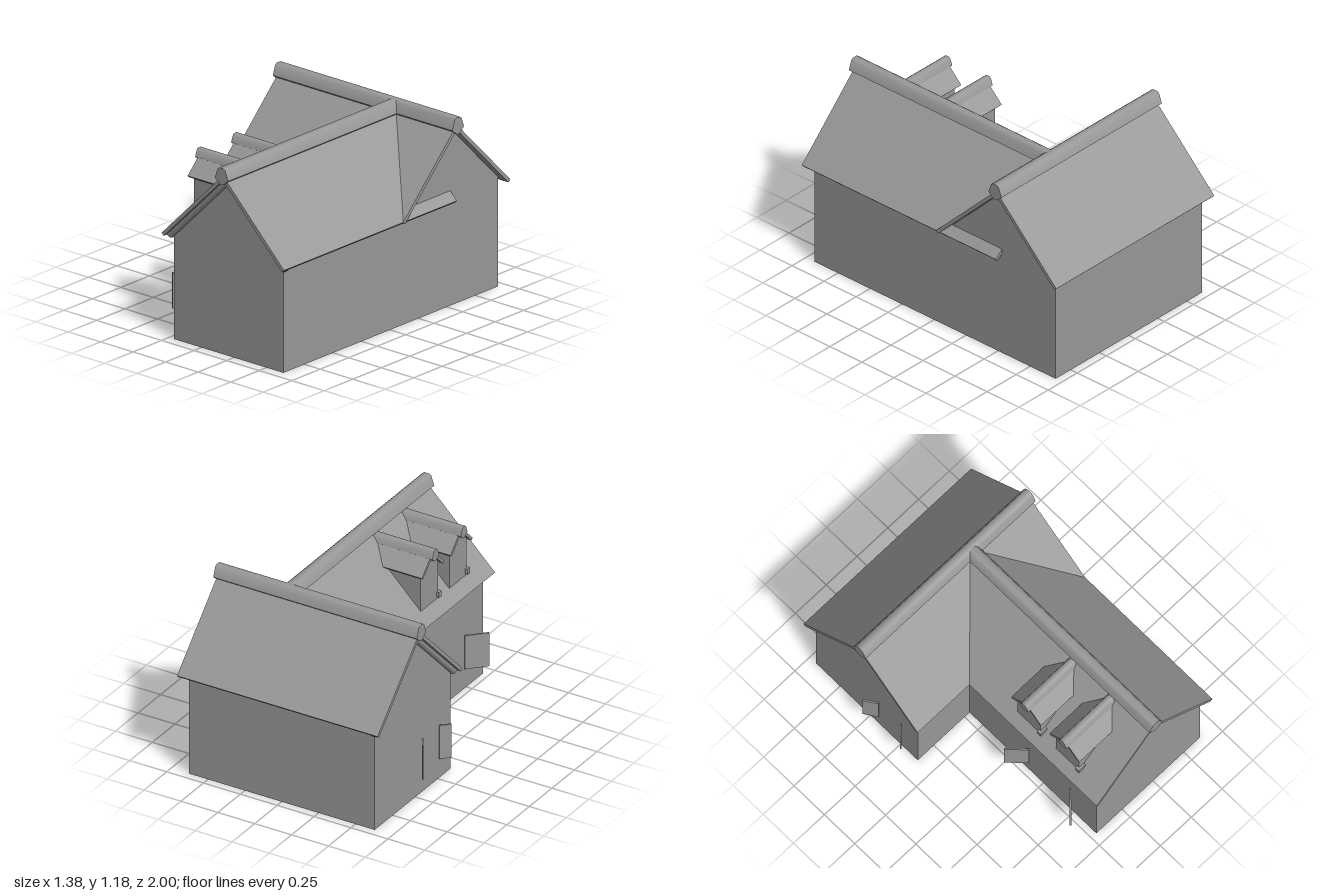
import * as THREE from 'three';
import { toCreasedNormals } from 'three/addons/utils/BufferGeometryUtils.js';

const mat = new THREE.MeshStandardMaterial({ color: 0x999999, side: THREE.DoubleSide });

function add(parent, name, geometry) {
  const m = new THREE.Mesh(geometry, mat);
  m.name = name;
  parent.add(m);
  return m;
}

function group(parent, name) {
  const g = new THREE.Group();
  g.name = name;
  parent.add(g);
  return g;
}

// Flat convex panel from its corners
function panel(points) {
  const v = [];
  for (let i = 1; i < points.length - 1; i++) v.push(...points[0], ...points[i], ...points[i + 1]);
  const g = new THREE.BufferGeometry();
  g.setAttribute('position', new THREE.Float32BufferAttribute(v, 3));
  g.computeVertexNormals();
  return g;
}

// Symmetric profile (right half, top to bottom) extruded from z0 to z1
function prism(half, z0, z1) {
  const left = half.filter(p => p[0] > 0).map(p => [-p[0], p[1]]).reverse();
  const shape = new THREE.Shape([...half, ...left].map(p => new THREE.Vector2(p[0], p[1])));
  return new THREE.ExtrudeGeometry(shape, { depth: z1 - z0, bevelEnabled: false }).translate(0, 0, z0);
}

// 45 degree pitched roof of two joined slabs
function roofSlabs(w, top, t, z0, z1) {
  const d = t * Math.SQRT1_2;
  return prism([[0, top], [w, top - w], [w - d, top - w - d], [0, top - 2 * d]], z0, z1);
}

// Ridge cap with a rounded top and flared sides
function ridgeCap(y, s, z0, z1) {
  const half = [[0.016, 0.048], [0.03, 0.038], [0.051, -0.021], [0.01, -0.055]];
  return prism(half.map(p => [p[0] * s, y + p[1] * s]), z0, z1);
}

const TOP = 1.13, W = 0.47, HALF = 0.42, EAVE = 0.675, APEX = 1.095, CREASE = 0.72;

// Round beams under the roof slabs along one gable
function rakeBeams(parent, z) {
  const off = 0.027 * Math.SQRT1_2;
  for (const s of [-1, 1]) {
    const m = add(parent, 'rakeBeam', new THREE.CylinderGeometry(0.026, 0.026, W * Math.SQRT2 - 0.008, 10));
    m.rotation.z = s * Math.PI / 4;
    m.position.set(s * (W / 2 - off), TOP - W / 2 - off, z);
  }
}

// Roof of one wing: ridge runs along local z
function wingRoof(parent, name, z0, z1, capZ0, capZ1, beamZ) {
  const g = group(parent, name);
  add(g, 'roofSlabs', roofSlabs(W, TOP, 0.022, z0, z1));
  add(g, 'ridgeCap', toCreasedNormals(ridgeCap(TOP, 1, capZ0, capZ1), CREASE));
  rakeBeams(g, beamZ);
  return g;
}

// Dormer facing local +z; its back end follows the slope of the roof behind
function dormer(parent, z) {
  const g = group(parent, 'dormer');
  g.rotation.y = -Math.PI / 2;
  g.position.z = z;
  const fit = geo => {
    const p = geo.attributes.position;
    for (let i = 0; i < p.count; i++) if (p.getZ(i) < 0.01) p.setZ(i, 0.925 - p.getY(i));
    return toCreasedNormals(geo, CREASE);
  };
  add(g, 'dormerRoof', fit(roofSlabs(0.123, 1.093, 0.018, 0, 0.22)));
  add(g, 'dormerRidgeCap', fit(ridgeCap(1.073, 0.72, 0, 0.238)));
  const hw = 0.095, f = 0.195, low = 0.73, eave = 0.973;
  add(g, 'dormerFront', panel([[-hw, low, f], [hw, low, f], [hw, eave, f], [0, eave + hw, f], [-hw, eave, f]]));
  for (const s of [-1, 1])
    add(g, 'dormerCheek', panel([[s * hw, low, f], [s * hw, eave, f], [s * hw, eave, 0.925 - eave]]));
  // Small bracket at the outer foot
  add(g, 'dormerBracket', new THREE.BoxGeometry(0.03, 0.035, 0.055)).position.set(0.095, 0.758, 0.183);
}

// Open shutter from its hinge to its free edge, both given as [x, z]
function shutter(parent, a, b) {
  const dx = b[0] - a[0], dz = b[1] - a[1];
  const m = add(parent, 'shutter', new THREE.BoxGeometry(Math.hypot(dx, dz), 0.222, 0.01));
  m.position.set((a[0] + b[0]) / 2, 0.244, (a[1] + b[1]) / 2);
  m.rotation.y = -Math.atan2(dz, dx);
}

export function createModel() {
  const house = new THREE.Group();
  house.name = 'house';

  // Walls: L-shaped plan, open underneath
  const walls = group(house, 'walls');
  const R = 0.63, L = -0.63, inner = -0.21, front = 0.935, mid = -0.11, back = -0.95, ridgeX = 0.21, ridgeZ = -0.53;
  const side = (name, a, b) => add(walls, name,
    panel([[a[0], 0, a[1]], [b[0], 0, b[1]], [b[0], EAVE, b[1]], [a[0], EAVE, a[1]]]));
  side('rightWall', [R, front], [R, mid]);
  side('backWall', [R, back], [L, back]);
  side('middleWall', [L, mid], [R, mid]);
  side('innerLeftWall', [inner, mid], [inner, front]);
  add(walls, 'frontGable', panel([[inner, 0, front], [R, 0, front], [R, EAVE, front],
    [ridgeX, APEX, front], [inner, EAVE, front]]));
  for (const x of [L, R])
    add(walls, 'sideGable', panel([[x, 0, ridgeZ + HALF], [x, 0, ridgeZ - HALF], [x, EAVE, ridgeZ - HALF],
      [x, APEX, ridgeZ], [x, EAVE, ridgeZ + HALF]]));

  // Roofs
  const mainRoof = wingRoof(house, 'mainRoof', -0.68, 0.68, -0.69, 0.69, -0.63);
  mainRoof.rotation.y = Math.PI / 2;
  mainRoof.position.z = ridgeZ;
  const frontRoof = wingRoof(house, 'frontRoof', ridgeZ, 0.988, ridgeZ, 1.0, 0.937);
  frontRoof.position.x = ridgeX;

  // Dormers on the inner slope
  for (const z of [0.366, 0.682]) dormer(house, z);

  // Shutter pairs
  shutter(house, [inner - 0.005, 0.385], [-0.316, 0.28]);
  shutter(house, [inner - 0.005, 0.725], [-0.316, 0.83]);
  shutter(house, [L - 0.005, -0.427], [-0.687, -0.505]);
  shutter(house, [L - 0.005, -0.245], [-0.687, -0.193]);

  return house;
}
